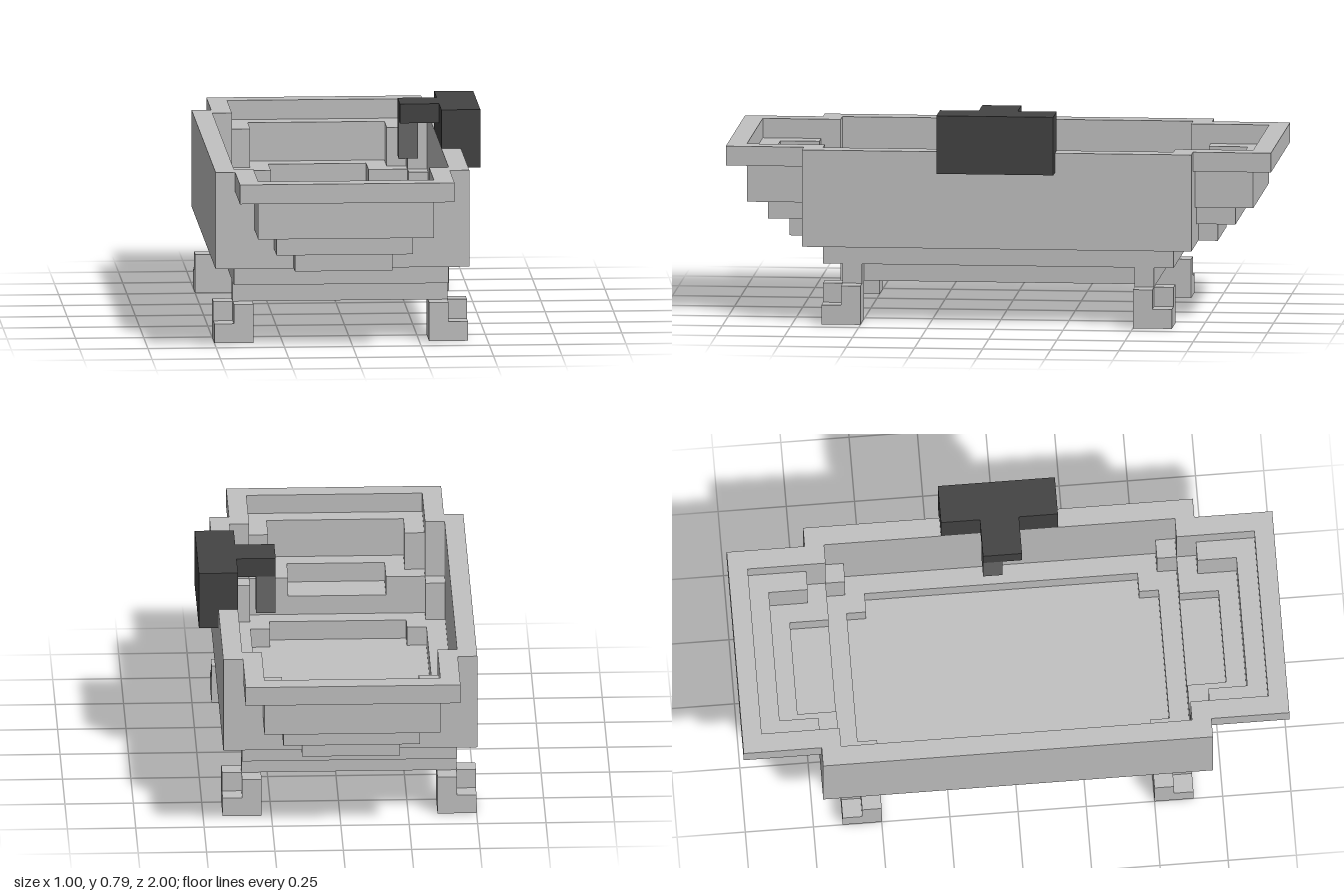
import * as THREE from 'three';

const U = 1 / 14; // one block of the grid
const CX = -0.5; // centre line of the tub, in blocks

// Symmetric stepped outline from [halfWidth, halfLength] pairs, widest first
function outline(steps, Type) {
  const q = [];
  steps.forEach(([w, l], i) => {
    if (i > 0) q.push([w, steps[i - 1][1]]);
    q.push([w, l]);
  });
  const r = [...q].reverse();
  const pts = [
    ...q,
    ...r.map(([x, y]) => [-x, y]),
    ...q.map(([x, y]) => [-x, -y]),
    ...r.map(([x, y]) => [x, -y]),
  ];
  return new Type(pts.map(([x, y]) => new THREE.Vector2((x + CX) * U, y * U)));
}

export function createModel() {
  const model = new THREE.Group();
  model.name = 'bathtub';
  const enamel = new THREE.MeshStandardMaterial({ color: 0xc2c2c2 });
  enamel.name = 'light grey enamel';
  const darkMetal = new THREE.MeshStandardMaterial({ color: 0x444444 });
  darkMetal.name = 'dark metal';
  const greyMetal = new THREE.MeshStandardMaterial({ color: 0x696969 });
  greyMetal.name = 'grey metal';

  function add(parent, name, geometry, material) {
    const mesh = new THREE.Mesh(geometry, material);
    mesh.name = name;
    parent.add(mesh);
    return mesh;
  }

  // Horizontal slice of the tub, with an optional opening
  function layer(name, y0, y1, outer, inner) {
    const shape = outline(outer, THREE.Shape);
    if (inner) shape.holes.push(outline(inner, THREE.Path));
    const g = new THREE.ExtrudeGeometry(shape, { depth: (y1 - y0) * U, bevelEnabled: false });
    g.rotateX(-Math.PI / 2);
    g.translate(0, y0 * U, 0);
    add(model, name, g, enamel);
  }

  // Box between two grid corners
  function block(parent, name, a, b, material) {
    const size = a.map((v, i) => Math.abs(b[i] - v) * U);
    const mid = a.map((v, i) => ((v + b[i]) / 2) * U);
    const g = new THREE.BoxGeometry(...size);
    g.translate(...mid);
    add(parent, name, g, material);
  }

  // Tub, from the floor up to the rim
  layer('tubFloor', 2, 3, [[4.5, 8]]);
  layer('lowerStep', 3, 4, [[5.5, 9]], [[4.5, 7], [3.5, 8]]);
  layer('wallBase', 4, 5, [[6.5, 10], [2.5, 11]], [[5.5, 8], [4.5, 9]]);
  layer('wallLower', 5, 6, [[6.5, 10], [3.5, 12]], [[5.5, 8], [4.5, 9], [2.5, 11]]);
  layer('wallUpper', 6, 8, [[6.5, 10], [4.5, 13]], [[5.5, 9], [4.5, 10], [3.5, 12]]);
  layer('rim', 8, 9, [[6.5, 10], [5.5, 14]], [[5.5, 9], [4.5, 13]]);

  // Feet: block base, two upper prongs around a notched corner, and a post
  for (const sx of [-1, 1]) {
    for (const sz of [-1, 1]) {
      const foot = new THREE.Group();
      foot.name = `${sz > 0 ? 'front' : 'back'}${sx > 0 ? 'Left' : 'Right'}Foot`;
      const at = (w, y, l) => [CX + sx * w, y, sz * l];
      block(foot, 'footBase', at(4.5, 0, 7), at(6.5, 1, 9), enamel);
      block(foot, 'footInner', at(4.5, 1, 7), at(5.5, 2, 9), enamel);
      block(foot, 'footOuter', at(5.5, 1, 7), at(6.5, 2, 8), enamel);
      block(foot, 'footPost', at(4.5, 2, 7), at(5.5, 3, 8), enamel);
      model.add(foot);
    }
  }

  // Tap over the left wall
  const tap = new THREE.Group();
  tap.name = 'tap';
  block(tap, 'tapBody', [5, 9, -3], [7, 11, 3], darkMetal);
  block(tap, 'tapBack', [6, 8, -3], [7, 9, 3], darkMetal);
  block(tap, 'spout', [3, 10, -1], [5, 11, 1], darkMetal);
  block(tap, 'spoutTip', [3, 8, -1], [4, 10, 0], greyMetal);
  model.add(tap);

  return model;
}
